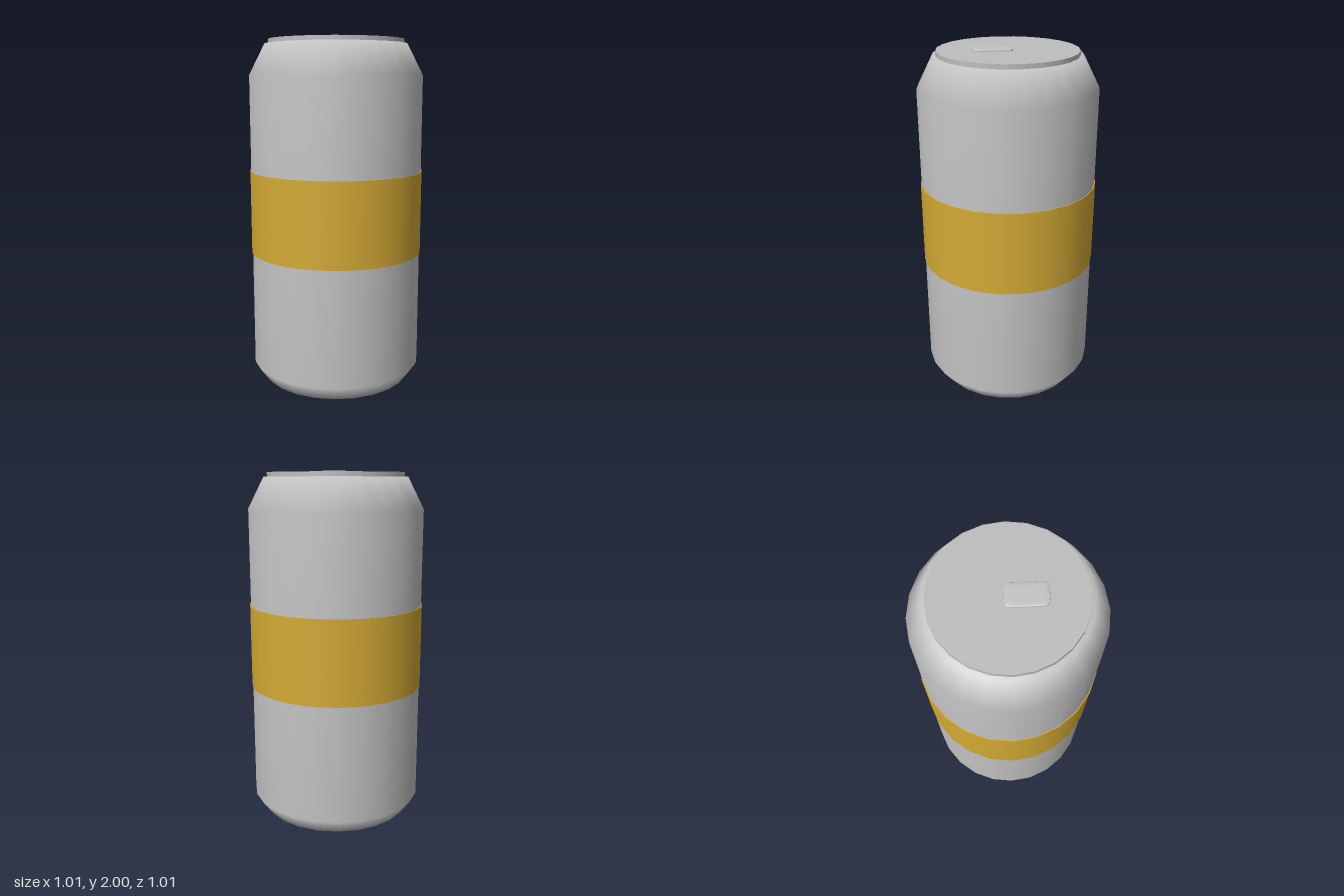
import * as THREE from 'three';
import { RoundedBoxGeometry } from 'three/addons/geometries/RoundedBoxGeometry.js';

const SIDES = 24;

function material(name, color) {
  const m = new THREE.MeshStandardMaterial({ color });
  m.name = name;
  return m;
}

export function createModel() {
  const group = new THREE.Group();
  group.name = 'drinkCan';

  const aluminium = material('aluminium', 0xc4c4c4);
  const lidMetal = material('lid metal', 0xbebebe);
  const gold = material('gold', 0xd4aa35);

  const add = (name, geometry, mat, x = 0, y = 0, z = 0) => {
    const mesh = new THREE.Mesh(geometry, mat);
    mesh.name = name;
    mesh.position.set(x, y, z);
    group.add(mesh);
  };

  // Can wall with tapered foot and shoulder, closed at both ends
  const profile = [
    [0, 0], [0.435, 0], [0.5, 0.09], [0.5, 1.79], [0.41, 1.965], [0, 1.965],
  ].map(([r, y]) => new THREE.Vector2(r, y));
  add('body', new THREE.LatheGeometry(profile, SIDES), aluminium);

  // Coloured band around the middle
  add('band', new THREE.CylinderGeometry(0.505, 0.505, 0.48, SIDES), gold, 0, 1.005, 0);

  // Raised lid
  add('lid', new THREE.CylinderGeometry(0.39, 0.39, 0.028, SIDES), lidMetal, 0, 1.976, 0);

  // Pull tab, with corners rounded in plan
  const tab = new RoundedBoxGeometry(0.128, 0.128, 0.215, 3, 0.03);
  tab.scale(1, 0.02 / 0.128, 1);
  add('pullTab', tab, aluminium, 0, 1.99, 0.086);

  return group;
}
